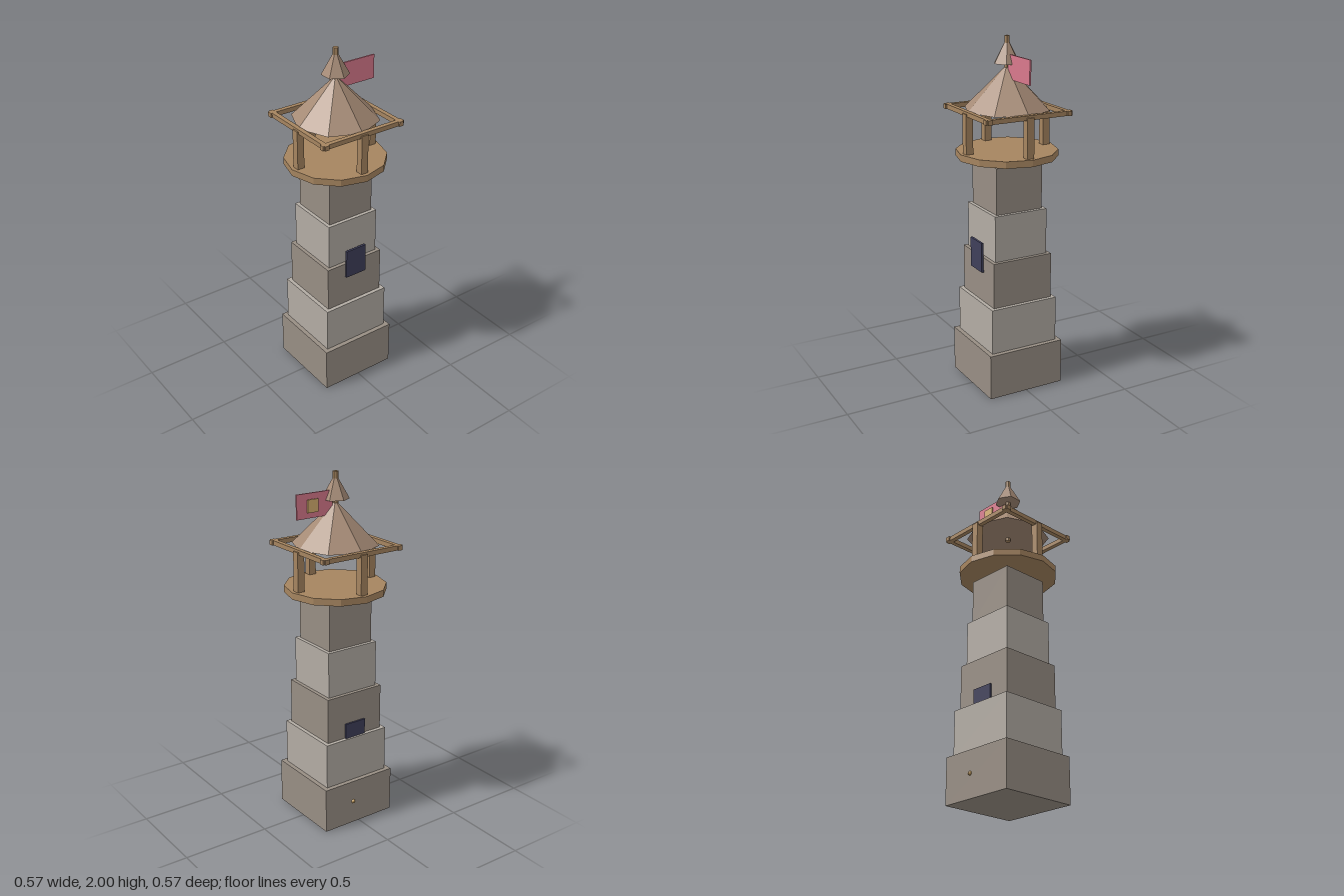
import * as THREE from 'three';

const mat = (color) => new THREE.MeshStandardMaterial({ color, flatShading: true });

export function createModel() {
  const group = new THREE.Group();
  const darkStone = mat(0x988e84), lightStone = mat(0xb3aca4);
  const wood = mat(0xa68560), roofing = mat(0xa68b76), glass = mat(0x3f3f5a);
  const cloth = mat(0xd9798c), gold = mat(0xd8b070);

  const add = (name, geometry, material, x, y, z) => {
    const mesh = new THREE.Mesh(geometry, material);
    mesh.name = name;
    mesh.position.set(x, y, z);
    group.add(mesh);
    return mesh;
  };
  const box = (name, w, h, d, material, x, y, z) =>
    add(name, new THREE.BoxGeometry(w, h, d), material, x, y, z);
  // Round part given by its bottom and top heights
  const round = (name, rTop, rBottom, y0, y1, sides, material) =>
    add(name, new THREE.CylinderGeometry(rTop, rBottom, y1 - y0, sides), material, 0, (y0 + y1) / 2, 0);

  // Stepped stone tower
  const tier = 0.263;
  [0.231, 0.205, 0.183, 0.162, 0.142].forEach((half, i) =>
    box('towerTier' + (i + 1), half * 2, tier, half * 2, i % 2 ? lightStone : darkStone, 0, tier * (i + 0.5), 0));

  // Windows and door knob
  box('frontWindow', 0.132, 0.172, 0.013, glass, 0, 0.79, 0.191);
  box('backWindow', 0.132, 0.172, 0.013, glass, 0, 0.528, -0.187);
  add('doorKnob', new THREE.SphereGeometry(0.012, 8, 6), gold, 0.04, 0.135, -0.231);

  // Lookout platform
  round('platform', 0.284, 0.284, 1.34, 1.378, 12, wood);

  // Four posts at mid-sides and the square of crossing beams above them
  for (let i = 0; i < 4; i++) {
    const a = i * Math.PI / 2, x = Math.sin(a) * 0.24, z = Math.cos(a) * 0.24;
    box('post', 0.042, 0.222, 0.042, wood, x, 1.489, z);
    box('beam', 0.524, 0.026, 0.026, wood, x, 1.599, z).rotation.y = a;
  }

  // Roof, spire and pole
  round('roof', 0, 0.24, 1.604, 1.845, 8, roofing);
  round('spire', 0, 0.077, 1.852, 1.99, 6, roofing);
  round('pole', 0.016, 0.016, 1.585, 2, 6, wood);

  // Flag with a square patch on its back
  box('flag', 0.23, 0.134, 0.009, cloth, 0.136, 1.836, 0);
  box('flagPatch', 0.068, 0.07, 0.007, gold, 0.156, 1.836, -0.0145);

  return group;
}
